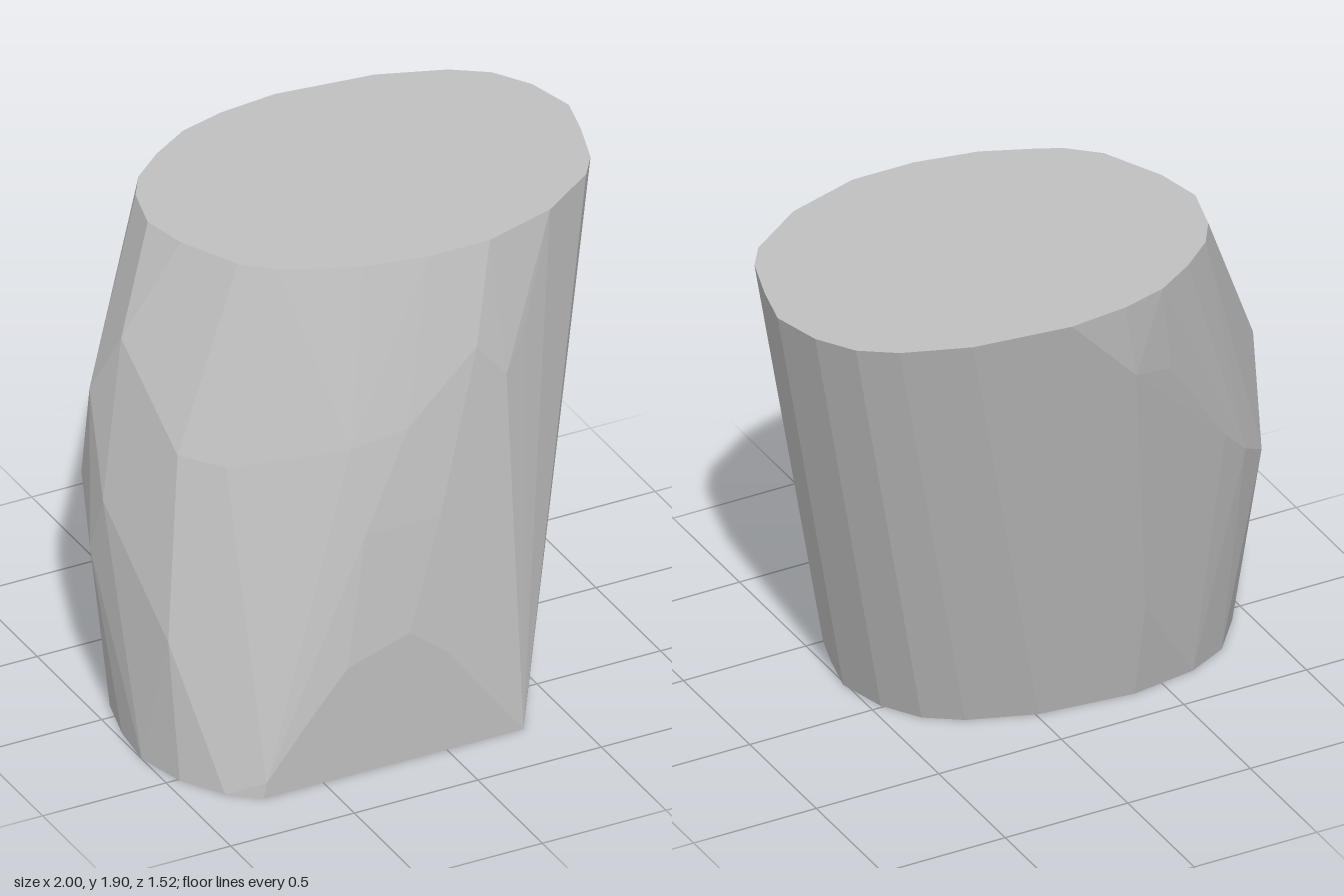
import * as THREE from 'three';
import { ConvexGeometry } from 'three/addons/geometries/ConvexGeometry.js';

// A ring of [x, z] corners at one height
const ring = (y, pts) => pts.map(([x, z]) => new THREE.Vector3(x, y, z));

export function createModel() {
  const group = new THREE.Group();
  group.name = 'leaningStump';
  const grey = new THREE.MeshStandardMaterial({ color: 0xbfbfbf });
  grey.name = 'stone grey';

  // Oval top cut
  const top = ring(1.905, [
    [-0.72, -0.18], [-0.67, -0.37], [-0.6, -0.48], [-0.47, -0.59], [-0.31, -0.69], [-0.13, -0.74],
    [0.1, -0.765], [0.48, -0.72], [0.73, -0.63], [0.86, -0.54], [0.95, -0.4], [1, -0.21],
    [0.96, -0.04], [0.9, 0.15], [0.83, 0.25], [0.6, 0.41], [0.31, 0.5], [0.06, 0.5],
    [-0.18, 0.455], [-0.38, 0.37], [-0.46, 0.33], [-0.57, 0.23], [-0.68, 0]]);

  // Base cut, straight along the front
  const base = ring(0, [
    [-0.74, 0.76], [0.31, 0.76], [0.43, 0.5], [0.47, 0.37], [0.51, 0.2], [0.46, 0.01],
    [0.37, -0.13], [0.24, -0.22], [-0.01, -0.31], [-0.38, -0.35], [-0.64, -0.31], [-0.8, -0.23],
    [-0.93, -0.07], [-0.98, 0.12], [-1, 0.31], [-0.95, 0.51], [-0.85, 0.67]]);

  // Corners of the bulging front, side and back between the cuts
  const bulge = [
    // flat patch low on the front
    [-0.73, 0.06, 0.76], [-0.55, 0.28, 0.76], [-0.4, 0.45, 0.76], [-0.15, 0.53, 0.76], [0, 0.41, 0.76],
    // front
    [-0.3, 0.95, 0.705], [0, 0.95, 0.71], [-0.32, 1.27, 0.63], [-0.1, 1.31, 0.65],
    [0.32, 1.4, 0.61], [0.2, 1.55, 0.61], [0.43, 1.53, 0.54], [-0.72, 1.2, 0.43],
    // side
    [-0.85, 1.22, 0.3], [-0.95, 0.53, 0.42], [-1, 0.92, 0.01], [-1, 0.67, -0.09],
    [-0.89, 1.53, -0.06], [-0.95, 1.27, -0.19],
    // back
    [-0.92, 0.85, -0.31], [-0.8, 0.94, -0.41], [-0.68, 1.07, -0.48], [-0.77, 0.4, -0.29],
    [-0.37, 0.42, -0.45], [-0.37, 1.53, -0.645], [-0.19, 1.59, -0.715],
  ].map((p) => new THREE.Vector3(...p));

  const body = new THREE.Mesh(new ConvexGeometry([...top, ...base, ...bulge]), grey);
  body.name = 'body';
  group.add(body);
  return group;
}
